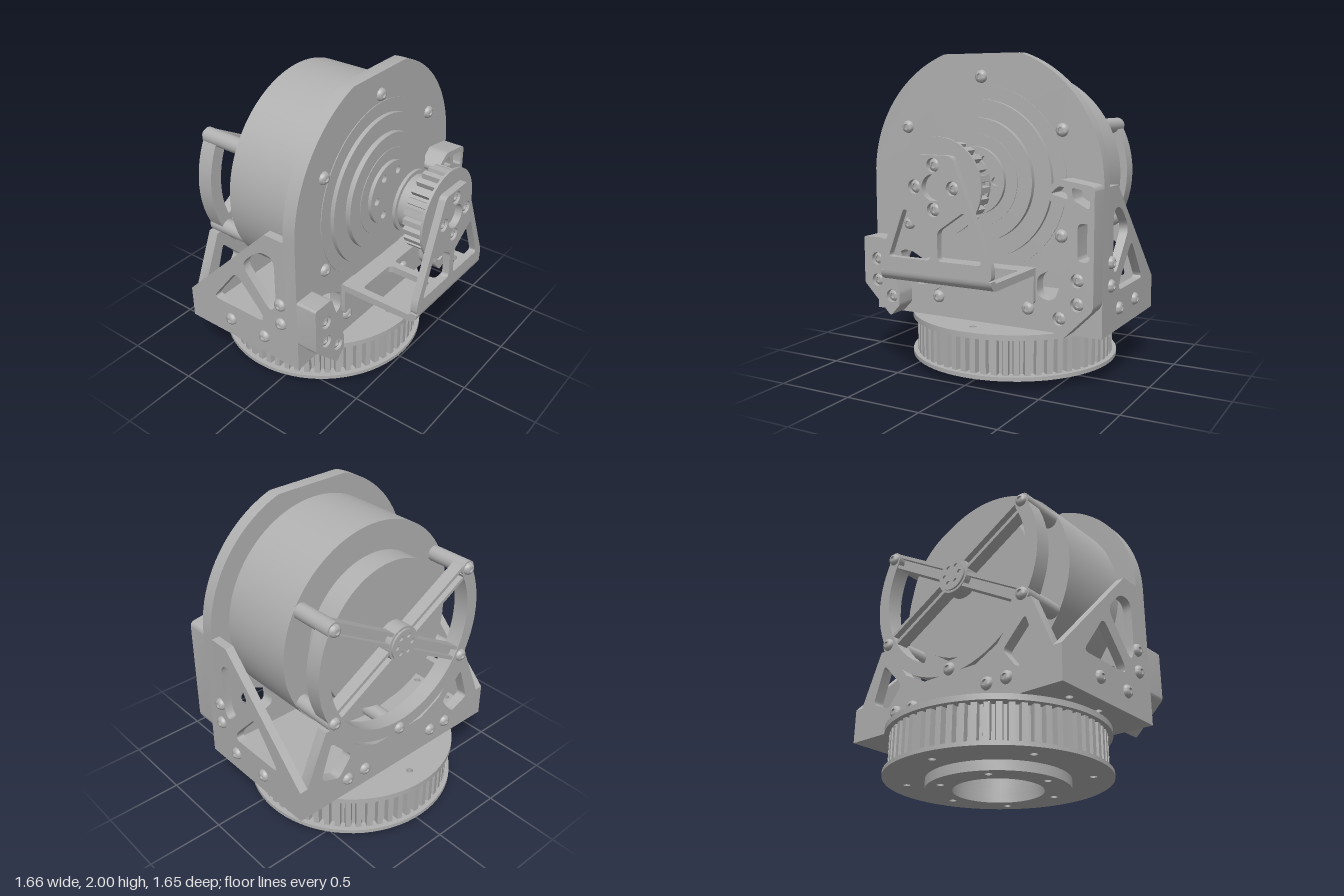
import * as THREE from 'three';
import { toCreasedNormals } from 'three/addons/utils/BufferGeometryUtils.js';

const AXIS_Y = 1.245; // height of the motor axis

export function createModel() {
  const root = new THREE.Group();
  root.name = 'motorDrive';
  const metal = new THREE.MeshStandardMaterial({ color: 0xb0b0b0 });
  metal.name = 'grey metal';

  const add = (name, geo) => {
    const mesh = new THREE.Mesh(geo, metal);
    mesh.name = name;
    root.add(mesh);
    return mesh;
  };

  // ---- outline helpers (all return arrays of Vector2) ----
  const poly = (pts, r = 0) => {
    const v = pts.map(p => new THREE.Vector2(p[0], p[1]));
    if (!r) return v;
    const path = new THREE.Path();
    v.forEach((p, i) => {
      const a = v[(i + v.length - 1) % v.length], b = v[(i + 1) % v.length];
      const ra = Math.min(r, p.distanceTo(a) * 0.45), rb = Math.min(r, p.distanceTo(b) * 0.45);
      const s = p.clone().lerp(a, ra / p.distanceTo(a));
      const e = p.clone().lerp(b, rb / p.distanceTo(b));
      if (i) path.lineTo(s.x, s.y); else path.moveTo(s.x, s.y);
      path.quadraticCurveTo(p.x, p.y, e.x, e.y);
    });
    return path.getPoints(5);
  };
  const arc = (cx, cy, r, a0 = 0, a1 = Math.PI * 2, n = 24) => {
    const full = Math.abs(a1 - a0) > 6.28;
    return Array.from({ length: full ? n : n + 1 }, (_, i) => {
      const a = a0 + (a1 - a0) * i / n;
      return new THREE.Vector2(cx + r * Math.cos(a), cy + r * Math.sin(a));
    });
  };
  const mirror = pts => pts.map(([u, v]) => [-u, v]);
  const gear = (r, depth, teeth) => {
    const pts = [];
    for (let i = 0; i < teeth; i++) {
      [[0, r], [0.5, r], [0.6, r - depth], [0.9, r - depth]].forEach(([f, q]) => {
        const a = (i + f) / teeth * Math.PI * 2;
        pts.push(new THREE.Vector2(q * Math.cos(a), q * Math.sin(a)));
      });
    }
    return pts;
  };
  const ringOfHoles = (cx, cy, R, r, n, start = 0) => Array.from({ length: n }, (_, i) => {
    const a = start + i / n * Math.PI * 2;
    return arc(cx + R * Math.cos(a), cy + R * Math.sin(a), r, 0, Math.PI * 2, 18);
  });

  // ---- plates: X uses (z, y), Y uses (x, z), Z uses (x, y) outlines ----
  const plate = (axis, name, outline, holes, from, to) => {
    const map = p => axis === 'x' ? new THREE.Vector2(-p.x, p.y)
      : axis === 'y' ? new THREE.Vector2(p.x, -p.y) : p.clone();
    const wound = (pts, clockwise) => {
      const m = pts.map(map);
      return THREE.ShapeUtils.isClockWise(m) === clockwise ? m : m.reverse();
    };
    const shape = new THREE.Shape(wound(outline, false));
    holes.forEach(h => shape.holes.push(new THREE.Path(wound(h, true))));
    let g = new THREE.ExtrudeGeometry(shape, { depth: to - from, bevelEnabled: false });
    g = toCreasedNormals(g, 0.5);
    if (axis === 'x') g.rotateY(Math.PI / 2).translate(from, 0, 0);
    if (axis === 'y') g.rotateX(-Math.PI / 2).translate(0, from, 0);
    if (axis === 'z') g.translate(0, 0, from);
    return add(name, g);
  };
  const cylX = (name, r, x0, x1, y = AXIS_Y, z = 0, seg = 64) =>
    add(name, new THREE.CylinderGeometry(r, r, x1 - x0, seg).rotateZ(-Math.PI / 2).translate((x0 + x1) / 2, y, z));

  // Button-head bolt with a hex socket
  const up = new THREE.Vector3(0, 1, 0);
  const profile = [[0.04, 0], [0.037, 0.013], [0.028, 0.023], [0.017, 0.026], [0.017, 0.012], [0, 0.012]]
    .map(p => new THREE.Vector2(...p));
  const bolt = (x, y, z, dir) => {
    const m = add('bolt', toCreasedNormals(new THREE.LatheGeometry(profile, 18), 0.7));
    m.position.set(x, y, z);
    m.quaternion.setFromUnitVectors(up, new THREE.Vector3(...dir));
  };

  // ---- base pulley ----
  const px = -0.155;
  const shift = pts => pts.map(p => new THREE.Vector2(p.x + px, p.y));
  const bore = arc(px, 0, 0.27, 0, Math.PI * 2, 48);
  const flangeHoles = ringOfHoles(px, 0, 0.555, 0.022, 6, Math.PI);
  const disc = r => arc(px, 0, r, 0, Math.PI * 2, 72);
  plate('y', 'pulleyBoss', disc(0.43), [bore, ...ringOfHoles(px, 0, 0.355, 0.022, 6, 0.5)], 0, 0.06);
  plate('y', 'pulleyLowerFlange', disc(0.68), [bore, ...flangeHoles], 0.06, 0.085);
  plate('y', 'pulleyTeeth', shift(gear(0.65, 0.04, 60)), [bore, ...flangeHoles], 0.085, 0.31);
  plate('y', 'pulleyUpperFlange', disc(0.68), [bore, ...flangeHoles], 0.31, 0.345);

  // ---- base plate ----
  const baseHoles = [];
  for (const x of [-0.39, -0.115]) for (const z of [-0.69, 0.69]) baseHoles.push(arc(x, z, 0.022));
  plate('y', 'basePlate', poly([[-0.6, -0.8], [0.2, -0.8], [0.2, 0.8], [-0.6, 0.8]]), baseHoles, 0.345, 0.41);

  // ---- motor mounting plate ----
  const topA = Math.acos(0.26 / 0.8);
  const mount = [...poly([[-0.8, 0.345], [0.8, 0.345]]),
    ...arc(0, AXIS_Y, 0.8, 0, topA), ...arc(0, AXIS_Y, 0.8, Math.PI - topA, Math.PI)];
  const win = [[0.38, 0.68], [0.54, 0.76], [0.62, 0.75], [0.62, 0.68], [0.47, 0.53], [0.38, 0.56]];
  plate('x', 'mountPlate', mount, [poly(win, 0.04), poly(mirror(win), 0.04)], 0.2, 0.285);

  // ---- motor body and stepped output face ----
  [[0.67, -0.32, 0.2], [0.485, -0.47, -0.32], [0.57, 0.2, 0.29], [0.485, 0.28, 0.317],
    [0.375, 0.31, 0.35], [0.28, 0.34, 0.354]]
    .forEach(([r, a, b], i) => cylX(i < 2 ? 'motorBody' : 'outputStep', r, a, b, AXIS_Y, 0, 96));
  plate('x', 'outputHub', arc(0, AXIS_Y, 0.205, 0, Math.PI * 2, 64),
    ringOfHoles(0, AXIS_Y, 0.145, 0.025, 6), 0.354, 0.378);
  for (let i = 0; i < 6; i++) {
    const a = Math.PI / 2 + i * Math.PI / 3;
    bolt(0.285, AXIS_Y + 0.62 * Math.sin(a), 0.62 * Math.cos(a), [1, 0, 0]);
  }
  for (const z of [-0.32, 0.32]) bolt(0.285, 0.475, z, [1, 0, 0]);

  // ---- triangular side plates ----
  const sidePts = poly([[-0.6, 0.345], [0.2, 0.345], [0.2, 1.23], [0.06, 1.23], [-0.6, 0.56]]);
  const sideHoles = [
    poly([[-0.4, 0.585], [0.02, 0.585], [0.01, 0.64], [-0.19, 0.86]], 0.05),
    poly([[-0.14, 0.95], [0.08, 0.69], [0.125, 0.75], [0.125, 1.09], [0.01, 1.1]], 0.07)];
  const blockBolts = [[0.7, 0.71], [0.7, 0.57], [0.59, 0.475]];
  for (const s of [-1, 1]) {
    plate('z', 'sidePlate', sidePts, sideHoles, s > 0 ? 0.745 : -0.8, s > 0 ? 0.8 : -0.745);
    [[0.16, 0.78], [0.16, 0.64], [0.02, 0.475], [-0.255, 0.475]].forEach(([x, y]) => bolt(x, y, s * 0.8, [0, 0, s]));
    blockBolts.forEach(([z, y]) => bolt(0.39, y, s * z, [1, 0, 0]));
  }

  // ---- corner blocks with sunken bolts: one short, one tall with windows ----
  const sunk = s => blockBolts.map(([z, y]) => arc(s * z, y, 0.041));
  const low = [[0.53, 0.5], [0.53, 0.42], [0.6, 0.345], [0.8, 0.545]];
  plate('x', 'cornerBlock', poly([...low, [0.8, 0.85], [0.65, 0.85]], 0.015), sunk(1), 0.285, 0.425);
  const tall = [...low, [0.8, 1.25], [0.58, 1.285], [0.48, 1.21], [0.49, 1.17], [0.65, 1.12], [0.68, 1.0], [0.65, 0.82]];
  plate('x', 'tallCornerBlock', poly(mirror(tall), 0.03), [
    poly(mirror([[0.7, 0.82], [0.775, 0.82], [0.775, 1.04], [0.7, 1.04]]), 0.03),
    poly(mirror([[0.67, 1.17], [0.77, 1.12], [0.775, 1.22], [0.66, 1.24]]), 0.02),
    poly(mirror([[0.53, 1.2], [0.64, 1.17], [0.62, 1.24], [0.58, 1.245]]), 0.015), ...sunk(-1)], 0.285, 0.425);

  // ---- output pinion ----
  [[0.195, 0.52, 0.54], [0.17, 0.54, 0.6], [0.19, 0.6, 0.63], [0.28, 0.765, 0.78]]
    .forEach(([r, a, b]) => cylX('pinionCollar', r, a, b));
  plate('x', 'pinionTeeth', gear(0.255, 0.035, 24).map(p => new THREE.Vector2(p.x, p.y + AXIS_Y)), [], 0.63, 0.765);

  // ---- bent outrigger bracket ----
  const armWin = [[0.2, 1.12], [0.025, 1.0], [0.025, 0.83], [0.31, 0.83]];
  plate('x', 'bracketArm',
    poly([[-0.37, 0.745], [0.37, 0.745], [0.37, 0.82], [0.12, 1.425], [-0.12, 1.425], [-0.37, 0.82]], 0.03),
    [poly(armWin, 0.025), poly(mirror(armWin), 0.025), arc(0, AXIS_Y, 0.075),
      ...ringOfHoles(0, AXIS_Y, 0.125, 0.041, 4)], 0.785, 0.83);
  const bend = [...arc(0.77, 0.745, 0.06, -Math.PI / 2, 0, 10), ...arc(0.77, 0.745, 0.015, 0, -Math.PI / 2, 6)];
  plate('z', 'bracketBend', bend, [], -0.37, 0.37);
  const frameWin = s => poly([[0.41, s * 0.025], [0.71, s * 0.025], [0.71, s * 0.32], [0.41, s * 0.32]], 0.03);
  plate('y', 'bracketFrame', poly([[0.285, -0.37], [0.77, -0.37], [0.77, 0.37], [0.285, 0.37]]),
    [frameWin(1), frameWin(-1)], 0.685, 0.73);
  plate('x', 'bracketFoot', poly([[-0.37, 0.73], [-0.37, 0.5], [-0.26, 0.56], [0.26, 0.56], [0.37, 0.5], [0.37, 0.73]], 0.03),
    [arc(0, 0.625, 0.045)], 0.285, 0.31);
  for (let i = 0; i < 4; i++) {
    const a = i * Math.PI / 2;
    bolt(0.795, AXIS_Y + 0.125 * Math.sin(a), 0.125 * Math.cos(a), [1, 0, 0]);
  }

  // ---- rear support: open ring, spokes, hub and standoffs ----
  const a0 = -Math.PI * 7 / 6, a1 = Math.PI / 6;
  plate('x', 'rearRing', [...arc(0, AXIS_Y, 0.65, a0, a1, 48), ...arc(0, AXIS_Y, 0.565, a1, a0, 48)], [], -0.6, -0.495);
  for (const deg of [30, 150, 210, 270, 330]) {
    const a = deg * Math.PI / 180, y = AXIS_Y + 0.62 * Math.sin(a), z = 0.62 * Math.cos(a);
    cylX('standoff', 0.05, -0.6, -0.32, y, z, 24);
    bolt(-0.6, y, z, [-1, 0, 0]);
    if (deg === 270) continue;
    for (const off of [-0.035, 0.035]) {
      add('spoke', new THREE.BoxGeometry(0.08, 0.022, 0.5).translate(0, off, 0.35)
        .rotateX(-a).translate(-0.555, AXIS_Y, 0));
    }
    add('spokeWeb', new THREE.BoxGeometry(0.03, 0.07, 0.5).translate(0, 0, 0.35)
      .rotateX(-a).translate(-0.54, AXIS_Y, 0));
  }
  cylX('rearHub', 0.115, -0.6, -0.5, AXIS_Y, 0, 32);
  plate('x', 'rearHubCap', arc(0, AXIS_Y, 0.1, 0, Math.PI * 2, 32),
    ringOfHoles(0, AXIS_Y, 0.06, 0.016, 6), -0.612, -0.6);

  // ---- rear foot plate with braced legs ----
  const foot = [[0.745, 0.345], [0.745, 0.56], [0.6, 0.9], [0.53, 0.9], [0.36, 0.68], [0.2, 0.6]];
  const footWin = [[0.4, 0.63], [0.5, 0.5], [0.64, 0.56], [0.56, 0.8]];
  plate('x', 'rearFoot', poly([...foot, ...mirror(foot).reverse()]),
    [poly(footWin, 0.03), poly(mirror(footWin), 0.03)], -0.6, -0.53);
  for (const z of [-0.43, 0.43, -0.29, 0.29]) bolt(-0.6, 0.46, z, [-1, 0, 0]);

  return root;
}
